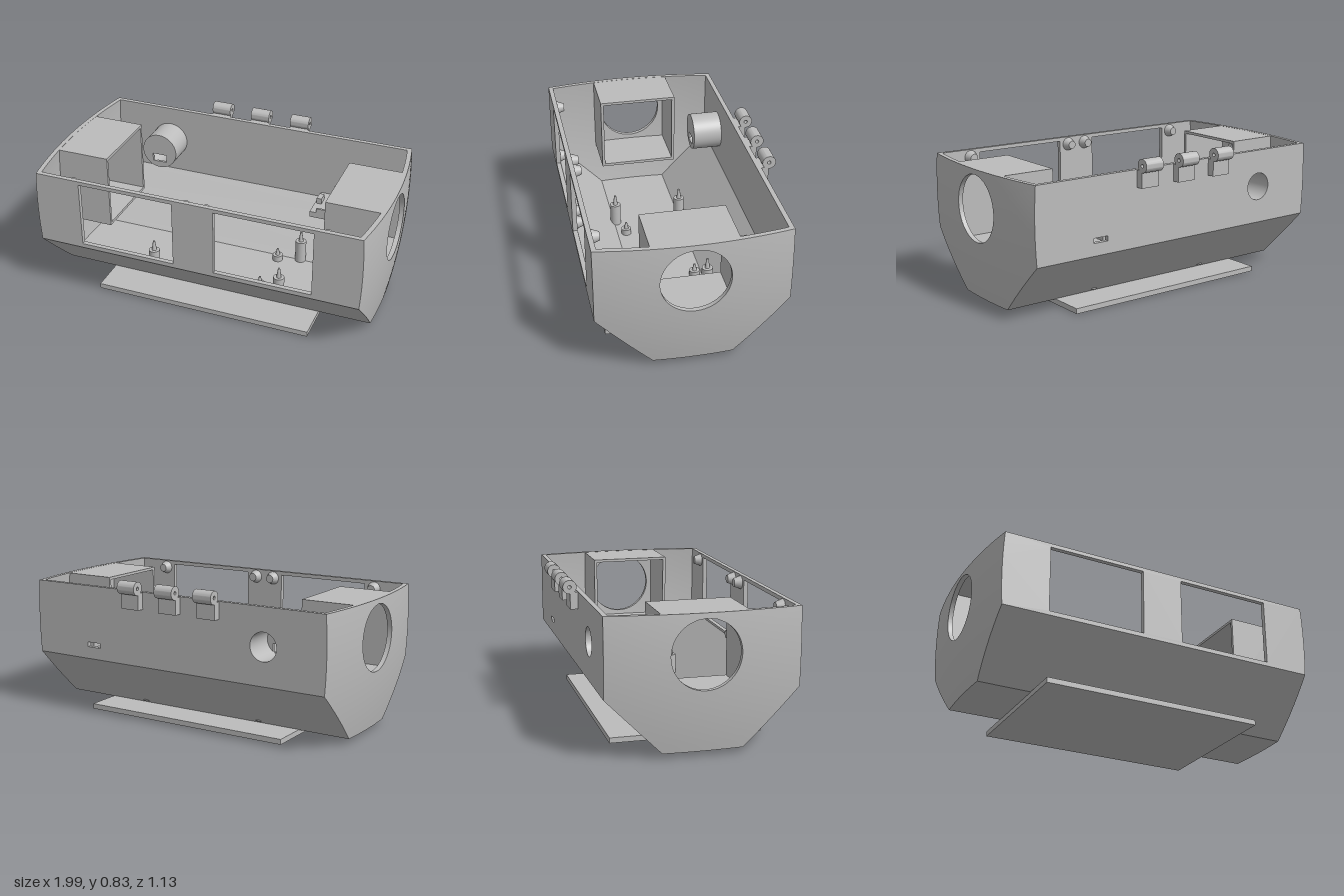
import * as THREE from 'three';
import { toCreasedNormals } from 'three/addons/utils/BufferGeometryUtils.js';

const grey = new THREE.MeshStandardMaterial({ color: 0xbcbcbc });
grey.name = 'plain grey';

const TOP = 0.765, CZ = 0.0425, CY = 0.55, HOLE_R = 0.1875, WALL = 0.027;
// hull section as [z, y], front top edge down and round to back top edge
const SECTION = [[0.565, TOP], [0.565, 0.335], [0.26, 0.027], [-0.175, 0.027], [-0.48, 0.335], [-0.48, TOP]];
// bulge of the domed ends
const domeX = (z, y) => 1 - 0.18 * ((z - CZ) ** 2 + (y - CY) ** 2);

export function createModel() {
  const group = new THREE.Group();
  group.name = 'housing';

  const add = (name, geo, x = 0, y = 0, z = 0) => {
    const mesh = new THREE.Mesh(geo, grey);
    mesh.name = name;
    mesh.position.set(x, y, z);
    group.add(mesh);
    return mesh;
  };
  // box given by its limits
  const block = (name, x0, x1, y0, y1, z0, z1) =>
    add(name, new THREE.BoxGeometry(x1 - x0, y1 - y0, z1 - z0), (x0 + x1) / 2, (y0 + y1) / 2, (z0 + z1) / 2);
  const rectHole = (x0, x1, y0, y1) => new THREE.Path([[x0, y0], [x0, y1], [x1, y1], [x1, y0]]
    .map(p => new THREE.Vector2(...p)));
  const circle = (r, x = 0, y = 0) => new THREE.Path().absarc(x, y, r, 0, Math.PI * 2, true);
  const extrude = (shape, depth) =>
    toCreasedNormals(new THREE.ExtrudeGeometry(shape, { depth, bevelEnabled: false, curveSegments: 24 }), 0.5);

  // long hull panels, their ends cut to the dome curve
  const panel = (name, a, b, holes = []) => {
    const dz = b[0] - a[0], dy = b[1] - a[1], len = Math.hypot(dz, dy), right = [];
    for (let i = 0; i <= 12; i++) {
      const t = i / 12;
      right.push(new THREE.Vector2(domeX(a[0] + dz * t, a[1] + dy * t), len * t));
    }
    const left = right.map(p => new THREE.Vector2(-p.x, p.y)).reverse();
    const shape = new THREE.Shape([...right, ...left]);
    shape.holes.push(...holes);
    const X = new THREE.Vector3(1, 0, 0), Y = new THREE.Vector3(0, dy / len, dz / len);
    const geo = extrude(shape, WALL);
    geo.applyMatrix4(new THREE.Matrix4().makeBasis(X, Y, X.clone().cross(Y)));
    add(name, geo, 0, a[1], a[0]);
  };
  const holes = {
    frontWall: [rectHole(-0.68, -0.12, 0.022, 0.405), rectHole(0.12, 0.68, 0.022, 0.405)],
    backWall: [circle(0.08, -0.58, 0.215), rectHole(0.5, 0.59, 0.07, 0.098)],
  };
  ['frontWall', 'frontSlope', 'floor', 'backSlope', 'backWall'].forEach((name, i) =>
    panel(name, SECTION[i], SECTION[i + 1], holes[name]));

  // domed end walls with a round opening
  const outline = [];
  SECTION.forEach((p, i) => {
    const q = SECTION[(i + 1) % SECTION.length];
    for (let k = 0; k < 16; k++) outline.push([p[0] + (q[0] - p[0]) * k / 16, p[1] + (q[1] - p[1]) * k / 16]);
  });
  const endWall = side => {
    const pos = [], idx = [], STEPS = 8, ring = 2 * (STEPS + 1), n = outline.length;
    outline.forEach(([z, y]) => {
      const d = Math.hypot(z - CZ, y - CY);
      const hz = CZ + (z - CZ) / d * HOLE_R, hy = CY + (y - CY) / d * HOLE_R;
      for (let j = 0; j < ring; j++) {
        const inner = j > STEPS, t = (inner ? ring - 1 - j : j) / STEPS;
        const pz = hz + (z - hz) * t, py = hy + (y - hy) * t;
        pos.push(side * (domeX(pz, py) - (inner ? WALL : 0)), py, pz);
      }
    });
    for (let i = 0; i < n; i++) for (let j = 0; j < ring; j++) {
      const i2 = (i + 1) % n, j2 = (j + 1) % ring;
      const a = i * ring + j, b = i * ring + j2, c = i2 * ring + j2, d = i2 * ring + j;
      if (side > 0) idx.push(a, b, c, a, c, d);
      else idx.push(a, c, b, a, d, c);
    }
    const geo = new THREE.BufferGeometry();
    geo.setAttribute('position', new THREE.Float32BufferAttribute(pos, 3));
    geo.setIndex(idx);
    add('endWall', toCreasedNormals(geo, 0.5));
  };

  for (const s of [-1, 1]) {
    endWall(s);

    // square sleeve behind each round opening, open towards the middle
    const x0 = s > 0 ? 0.65 : -0.965, x1 = s > 0 ? 0.965 : -0.65;
    block('sleeveTop', x0, x1, 0.748, TOP - 0.001, -0.19, 0.275);
    block('sleeveBottom', x0, x1, 0.32, 0.337, -0.19, 0.275);
    block('sleeveFront', x0, x1, 0.32, TOP - 0.001, 0.258, 0.275);
    block('sleeveBack', x0, x1, 0.32, TOP - 0.001, -0.19, -0.173);

    // floor posts with pins
    const post = (name, x, z, r, top, tip) => {
      add(name, new THREE.CylinderGeometry(r, r, top - 0.04, 20), x, (top + 0.04) / 2, z);
      add(name + 'Pin', new THREE.CylinderGeometry(r * 0.2, r * 0.45, tip - top, 12), x, (top + tip) / 2, z);
    };
    for (const z of [-0.165, 0.24]) post('tallPost', s * 0.39, z, 0.032, 0.19, 0.25);
    for (const z of [-0.12, 0.195]) post('shortPost', s * 0.26, z, 0.03, 0.09, 0.13);

    // tapered pegs at the window corners
    for (const x of [0.06, 0.74]) for (const y of [0.38, 0.72]) {
      const peg = add('windowPeg', new THREE.CylinderGeometry(0.024, 0.04, 0.045, 20), s * x, y, 0.517);
      peg.rotation.x = -Math.PI / 2;
    }
  }

  // round socket inside the back wall, capped with a slotted plate
  const tube = new THREE.Shape().absarc(0, 0, 0.11, 0, Math.PI * 2);
  tube.holes.push(circle(0.08));
  add('socketTube', extrude(tube, 0.17), -0.58, CY, -0.46);
  const cap = new THREE.Shape().absarc(0, 0, 0.11, 0, Math.PI * 2);
  cap.holes.push(rectHole(-0.045, 0.045, -0.07, -0.022));
  add('socketCap', extrude(cap, 0.015), -0.58, CY, -0.295);

  // small tray with lip and clips beside the back slot
  block('tray', 0.42, 0.66, 0.34, 0.375, -0.46, -0.215);
  block('trayLip', 0.46, 0.62, 0.375, 0.402, -0.228, -0.215);
  for (const x of [0.43, 0.625]) block('trayClip', x, x + 0.03, 0.375, 0.41, -0.38, -0.32);

  // hinges: knuckle with pin hole, leaf on the back wall
  for (const x of [-0.25, 0, 0.25]) {
    const ring = new THREE.Shape().absarc(0, 0, 0.038, 0, Math.PI * 2);
    ring.holes.push(circle(0.01));
    const geo = extrude(ring, 0.115);
    geo.translate(0, 0, -0.0575);
    add('hingeKnuckle', geo, x, 0.79, -0.525).rotation.y = Math.PI / 2;
    block('hingeLeaf', x - 0.0575, x + 0.0575, 0.667, 0.762, -0.523, -0.48);
  }

  // base plate
  block('basePlate', -0.64, 0.64, 0, 0.03, -0.385, 0.47);

  return group;
}
